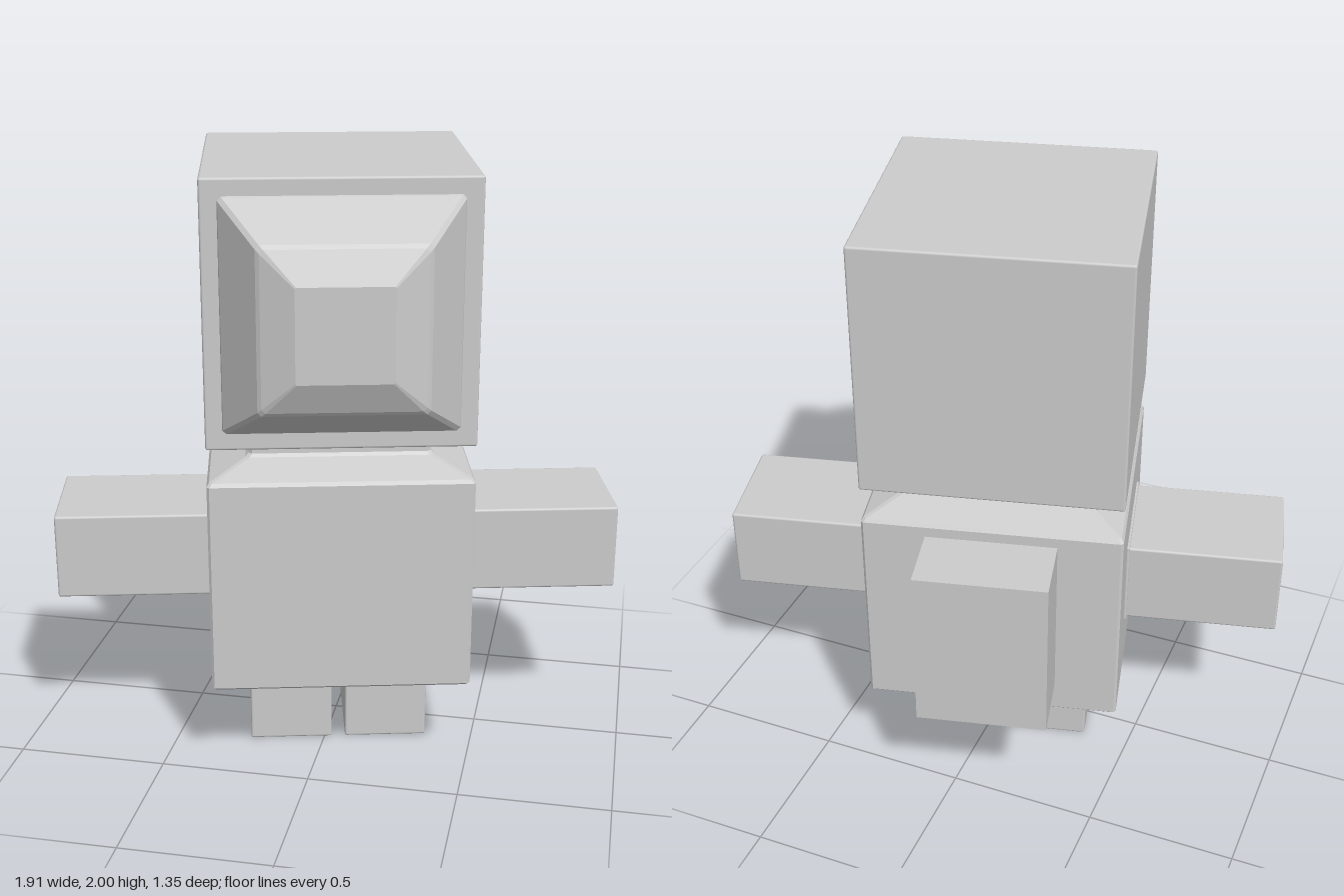
import * as THREE from 'three';
import { RoundedBoxGeometry } from 'three/addons/geometries/RoundedBoxGeometry.js';

// Square-section loft along z with narrow corner cuts; rings are [z, halfSize, cut]
function squareLoft(rings) {
  const loops = rings.map(([z, h, c]) => [
    [h, -h + c], [h, h - c], [h - c, h], [-h + c, h],
    [-h, h - c], [-h, -h + c], [-h + c, -h], [h - c, -h],
  ].map(([x, y]) => [x, y, z]));
  const out = [];
  const tri = (a, b, c) => out.push(...a, ...b, ...c);
  for (let k = 0; k + 1 < loops.length; k++) {
    for (let i = 0; i < 8; i++) {
      const j = (i + 1) % 8;
      const a = loops[k][i], b = loops[k][j], c = loops[k + 1][j], d = loops[k + 1][i];
      tri(a, b, c);
      tri(a, c, d);
    }
  }
  const first = loops[0], last = loops[loops.length - 1];
  for (let i = 1; i < 7; i++) {
    tri(first[0], first[i + 1], first[i]);
    tri(last[0], last[i], last[i + 1]);
  }
  const geo = new THREE.BufferGeometry();
  geo.setAttribute('position', new THREE.Float32BufferAttribute(out, 3));
  geo.computeVertexNormals();
  return geo;
}

export function createModel() {
  const grey = new THREE.MeshStandardMaterial({ color: 0xcccccc });
  grey.name = 'grey';

  const model = new THREE.Group();
  model.name = 'blockFigure';
  const figure = new THREE.Group();
  figure.name = 'figure';
  // The figure is turned slightly to its left
  figure.rotation.y = THREE.MathUtils.degToRad(13.6);
  figure.position.z = 0.01;
  model.add(figure);

  function add(name, geo, x = 0, y = 0, z = 0) {
    const mesh = new THREE.Mesh(geo, grey);
    mesh.name = name;
    mesh.position.set(x, y, z);
    figure.add(mesh);
    return mesh;
  }
  const softBox = (w, h, d, r = 0.008) => new RoundedBoxGeometry(w, h, d, 2, r);

  // Head with a stepped, bulging visor
  add('head', softBox(0.85, 0.85, 0.85), 0, 1.575, 0);
  add('visor', squareLoft([
    [0.42, 0.372, 0.012],
    [0.432, 0.368, 0.012],
    [0.588, 0.26, 0.012],
    [0.597, 0.248, 0.012],
    [0.643, 0.147, 0.004],
  ]), 0, 1.575, 0);

  // Torso with sloping shoulders and neck in one piece
  add('torso', squareLoft([
    [0.31, 0.417, 0.008],
    [0.318, 0.425, 0.008],
    [1.025, 0.425, 0.008],
    [1.037, 0.417, 0.01],
    [1.08, 0.302, 0.012],
    [1.09, 0.293, 0.012],
    [1.14, 0.29, 0.012],
    [1.16, 0.29, 0.012],
  ])).rotation.x = -Math.PI / 2;

  // Backpack
  add('backpack', new THREE.BoxGeometry(0.43, 0.57, 0.25), 0, 0.705, -0.53);

  // Arms and legs, with a thin rim where each meets the torso
  for (const [side, s] of [['left', 1], ['right', -1]]) {
    add(side + 'Arm', softBox(0.54, 0.29, 0.385), s * 0.67, 0.695, 0);
    add(side + 'ArmRim', softBox(0.04, 0.308, 0.403, 0.006), s * 0.413, 0.695, 0);
    add(side + 'Leg', softBox(0.28, 0.33, 0.405), s * 0.163, 0.165, 0);
    add(side + 'LegRim', softBox(0.294, 0.03, 0.42, 0.006), s * 0.163, 0.317, 0);
  }

  return model;
}
